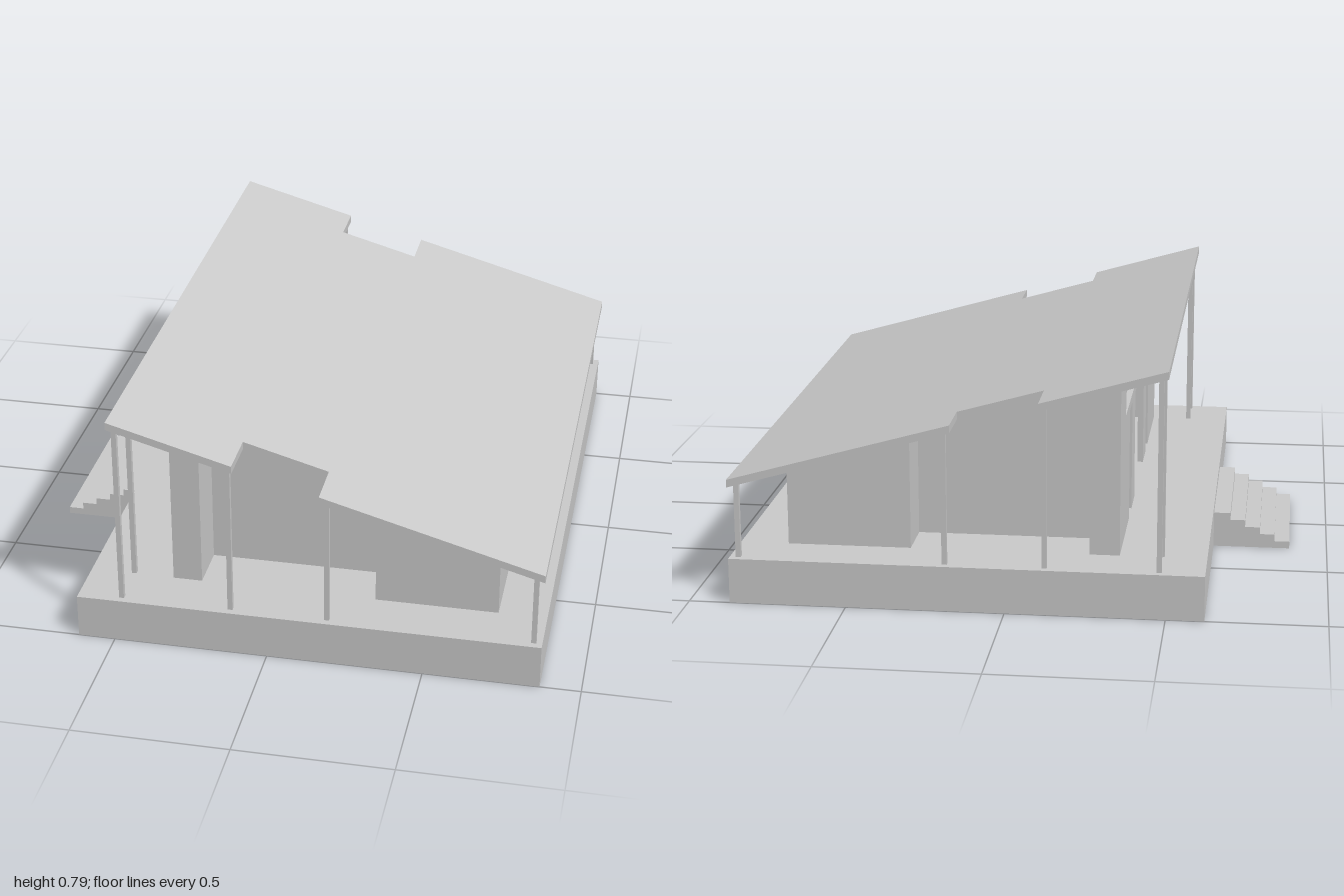
import * as THREE from 'three';

const material = new THREE.MeshStandardMaterial({ color: 0xcccccc, flatShading: true });
const DECK = 0.145, T = 0.02;
// height of the sloping roof underside at x
const under = (x) => 0.76 - 0.281 * (x + 0.5);

function add(group, name, geometry) {
  const mesh = new THREE.Mesh(geometry, material);
  mesh.name = name;
  group.add(mesh);
  return mesh;
}

// box given by its minimum and maximum corners
function box(group, name, x0, x1, y0, y1, z0, z1) {
  add(group, name, new THREE.BoxGeometry(x1 - x0, y1 - y0, z1 - z0))
    .position.set((x0 + x1) / 2, (y0 + y1) / 2, (z0 + z1) / 2);
}

const polygon = (points) => new THREE.Shape(points.map(([a, b]) => new THREE.Vector2(a, b)));
const rect = (a0, a1, b0, b1) => [[a0, b0], [a1, b0], [a1, b1], [a0, b1]];

// wall running along x, its top following the roof
function wallAlongX(group, name, x0, x1, z0) {
  const shape = polygon([[x0, DECK], [x1, DECK], [x1, under(x1)], [x0, under(x0)]]);
  const geometry = new THREE.ExtrudeGeometry(shape, { depth: T, bevelEnabled: false });
  add(group, name, geometry.translate(0, 0, z0));
}

// wall running along z from an outline, with holes; tops above 0.9 are trimmed to the roof
function wallAlongZ(group, name, x0, outline, holes = []) {
  const shape = polygon(outline);
  holes.forEach((h) => shape.holes.push(polygon(h)));
  const geometry = new THREE.ExtrudeGeometry(shape, { depth: T, bevelEnabled: false });
  geometry.rotateY(-Math.PI / 2).translate(x0 + T, 0, 0);
  const p = geometry.attributes.position;
  for (let i = 0; i < p.count; i++) if (p.getY(i) > 0.9) p.setY(i, under(p.getX(i)));
  geometry.computeVertexNormals();
  add(group, name, geometry);
}

export function createModel() {
  const house = new THREE.Group();
  house.name = 'house';

  // raised platform
  box(house, 'deck', -0.62, 0.87, 0, DECK, -1, 1);

  // entrance stairs
  const stairs = new THREE.Group();
  stairs.name = 'stairs';
  house.add(stairs);
  for (let i = 0; i < 5; i++) {
    const x = -0.875 + i * 0.05;
    box(stairs, 'step', x, i < 4 ? x + 0.05 : -0.62, 0, 0.0235 * (i + 1), -0.27, 0.27);
  }

  // sloping roof with a notch in each gable side
  const plan = [[-0.5, -0.99], [-0.105, -0.99], [-0.105, -0.83], [0.168, -0.83], [0.168, -0.99], [0.87, -0.99],
    [0.87, 0.99], [0.168, 0.99], [0.168, 0.83], [-0.105, 0.83], [-0.105, 0.99], [-0.5, 0.99]];
  const roof = new THREE.ExtrudeGeometry(polygon(plan), { depth: 0.025, bevelEnabled: false });
  roof.rotateX(-Math.PI / 2);
  const p = roof.attributes.position;
  for (let i = 0; i < p.count; i++) p.setY(i, p.getY(i) + under(p.getX(i)));
  roof.computeVertexNormals();
  add(house, 'roof', roof);

  const walls = new THREE.Group();
  walls.name = 'walls';
  house.add(walls);

  // entrance wall: three openings down to the floor and a long high window
  const outline = [[-0.83, DECK], [-0.45, DECK], [-0.45, 0.515], [-0.34, 0.515], [-0.34, DECK],
    [-0.21, DECK], [-0.21, 0.515], [0.21, 0.515], [0.21, DECK],
    [0.34, DECK], [0.34, 0.515], [0.45, 0.515], [0.45, DECK], [0.83, DECK], [0.83, 1], [-0.83, 1]];
  wallAlongZ(walls, 'entranceWall', -0.345, outline, [rect(-0.62, 0.62, 0.545, 0.67)]);

  // low wall with two strip windows
  wallAlongZ(walls, 'lowWall', 0.695, rect(-0.83, 0.83, DECK, 1),
    [rect(-0.45, -0.1, 0.33, 0.4), rect(0.1, 0.45, 0.33, 0.4)]);

  // gable walls with a recessed middle, and posts, on both sides
  for (const s of [1, -1]) {
    const inner = (z) => (s > 0 ? z - T : -z);
    wallAlongX(walls, 'gableWallTall', -0.325, -0.25, inner(0.83));
    wallAlongX(walls, 'gableWallLow', 0.32, 0.695, inner(0.83));
    wallAlongX(walls, 'recessWall', -0.27, 0.34, inner(0.67));
    const [z0, z1] = s > 0 ? [0.67, 0.81] : [-0.81, -0.67];
    wallAlongZ(walls, 'recessSideTall', -0.27, rect(z0, z1, DECK, 1));
    wallAlongZ(walls, 'recessSideLow', 0.32, rect(z0, z1, DECK, 1));

    for (const [x, z] of [[-0.478, 0.97], [-0.478, 0.82], [-0.122, 0.97], [0.19, 0.97], [0.843, 0.97]]) {
      box(house, 'post', x - 0.008, x + 0.008, DECK, under(x) + 0.005, s * z - 0.008, s * z + 0.008);
    }
  }
  return house;
}
